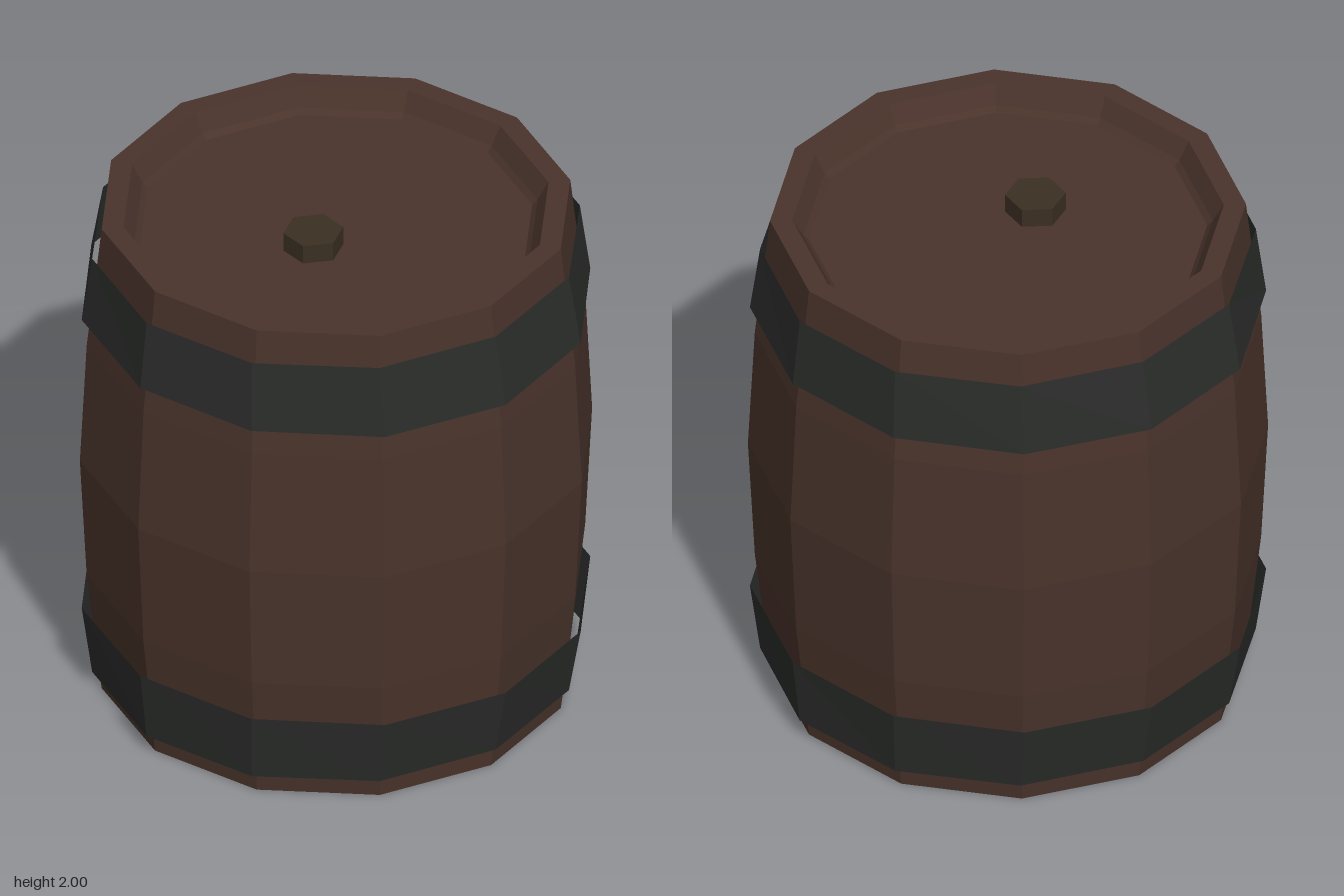
import * as THREE from 'three';

const SIDES = 12;

function material(color, side = THREE.FrontSide) {
  return new THREE.MeshStandardMaterial({ color, side, flatShading: true });
}

function lathe(name, profile, mat) {
  const points = profile.map(([r, y]) => new THREE.Vector2(r, y));
  const mesh = new THREE.Mesh(new THREE.LatheGeometry(points, SIDES), mat);
  mesh.name = name;
  return mesh;
}

// Open metal band, slightly oval: narrow edge [x, z] radii to wide edge radii
function hoop(name, yNarrow, yWide, mat) {
  const narrow = { y: yNarrow, x: 0.885, z: 0.9 };
  const wide = { y: yWide, x: 0.94, z: 0.93 };
  const [low, high] = yNarrow < yWide ? [narrow, wide] : [wide, narrow];
  const mesh = lathe(name, [[1, low.y], [1, high.y]], mat);
  const pos = mesh.geometry.attributes.position;
  for (let i = 0; i < pos.count; i++) {
    const ring = Math.abs(pos.getY(i) - low.y) < 1e-4 ? low : high;
    pos.setX(i, pos.getX(i) * ring.x);
    pos.setZ(i, pos.getZ(i) * ring.z);
  }
  mesh.geometry.computeVertexNormals();
  return mesh;
}

export function createModel() {
  const group = new THREE.Group();
  group.name = 'barrel';
  const wood = material(0x49332b);
  const iron = material(0x2a2c2a, THREE.DoubleSide);
  const bungWood = material(0x3a2f22);

  // Bulging staves with a rim at both ends
  group.add(lathe('staves', [
    [0.72, 0.09], [0.74, 0.07], [0.78, 0], [0.86, 0], [0.915, 0.5], [0.94, 1],
    [0.915, 1.5], [0.86, 2], [0.78, 2], [0.74, 1.93], [0.72, 1.91],
  ], wood));

  // Recessed end boards
  group.add(lathe('bottomBoard', [[0, 0.09], [0.72, 0.09]], wood));
  group.add(lathe('lid', [[0.72, 1.91], [0, 1.91]], wood));

  // Metal hoops, flaring towards the middle
  group.add(hoop('lowerHoop', 0.08, 0.355, iron));
  group.add(hoop('upperHoop', 1.88, 1.61, iron));

  // Six-sided bung in the lid
  const bung = new THREE.Mesh(new THREE.CylinderGeometry(0.11, 0.11, 0.09, 6), bungWood);
  bung.name = 'bung';
  bung.rotation.y = Math.PI / 2;
  bung.position.set(0.055, 1.94, 0.155);
  group.add(bung);

  return group;
}
